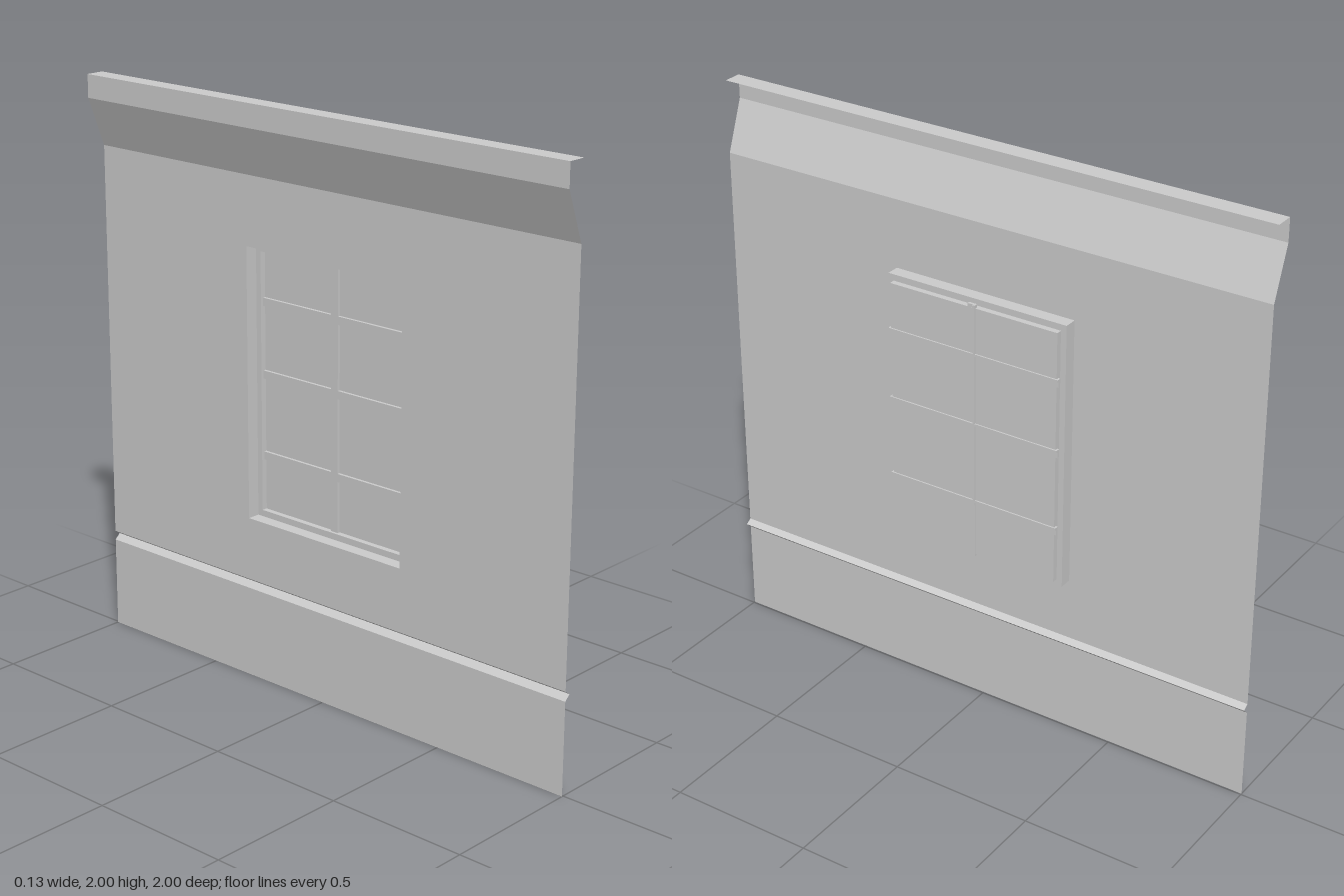
import * as THREE from 'three';

const material = new THREE.MeshStandardMaterial({ color: 0xcccccc, flatShading: true, side: THREE.DoubleSide });
const WALL = -0.005;                       // x of the wall sheet

function add(group, name, geometry) {
  const mesh = new THREE.Mesh(geometry, material);
  mesh.name = name;
  group.add(mesh);
  return mesh;
}

function quads(list) {
  const pos = [];
  for (const [a, b, c, d] of list) pos.push(...a, ...b, ...c, ...a, ...c, ...d);
  const g = new THREE.BufferGeometry();
  g.setAttribute('position', new THREE.Float32BufferAttribute(pos, 3));
  g.computeVertexNormals();
  return g;
}

// Open sheet: an (x, y) profile swept along the whole wall length
function sheet(profile) {
  return quads(profile.slice(1).map(([x, y], i) => {
    const [px, py] = profile[i];
    return [[px, py, 1], [px, py, -1], [x, y, -1], [x, y, 1]];
  }));
}

// Stepped rectangular shell: rings of [x, halfWidth, bottom, top], closed by a pane
function steppedShell(rings) {
  const loops = rings.map(([x, w, b, t]) => [[x, b, w], [x, b, -w], [x, t, -w], [x, t, w]]);
  const faces = [];
  for (let i = 1; i < loops.length; i++) {
    for (let k = 0; k < 4; k++) {
      const n = (k + 1) % 4;
      faces.push([loops[i - 1][k], loops[i - 1][n], loops[i][n], loops[i][k]]);
    }
  }
  faces.push(loops[loops.length - 1]);
  return quads(faces);
}

function box(x0, x1, y0, y1, z0, z1) {
  return new THREE.BoxGeometry(x1 - x0, y1 - y0, z1 - z0)
    .translate((x0 + x1) / 2, (y0 + y1) / 2, (z0 + z1) / 2);
}

function rectangle(path, w, b, t) {
  path.moveTo(-w, b);
  path.lineTo(w, b);
  path.lineTo(w, t);
  path.lineTo(-w, t);
  path.closePath();
  return path;
}

export function createModel() {
  const model = new THREE.Group();
  model.name = 'wallPanel';
  const W = 0.333, B = 0.573, T = 1.513;   // window opening

  // Plinth, pointed ledge, and the flared cornice with its top flange
  add(model, 'plinth', sheet([[WALL, 0], [WALL, 0.32]]));
  add(model, 'ledge', sheet([[WALL, 0.32], [0.015, 0.339], [WALL, 0.353]]));
  add(model, 'cornice', sheet([[WALL, 1.75], [-0.07, 1.92], [-0.07, 2], [WALL, 2]]));

  // Main wall with the window opening
  const shape = rectangle(new THREE.Shape(), 1, 0.353, 1.75);
  shape.holes.push(rectangle(new THREE.Path(), W, B, T));
  add(model, 'wall', new THREE.ShapeGeometry(shape).rotateY(Math.PI / 2).translate(WALL, 0, 0));

  // Window: frame box, narrower sash and pane
  const win = new THREE.Group();
  win.name = 'window';
  model.add(win);
  add(win, 'frameAndSash', steppedShell([
    [WALL, W, B, T], [0.04, W, B, T], [0.04, 0.313, 0.595, 1.491], [0.06, 0.313, 0.595, 1.491],
  ]));

  // Glazing bars set in the pane, with a slim ridge showing outside
  for (const y of [1.319, 1.07, 0.787]) {
    add(win, 'crossBar', box(0.05, 0.0595, y - 0.014, y + 0.014, -0.32, 0.32));
    add(win, 'crossBarRidge', box(0.0595, 0.065, y + 0.006, y + 0.014, -0.32, 0.32));
  }
  add(win, 'uprightBar', box(0.05, 0.0595, 0.588, 1.502, -0.012, 0.017));
  add(win, 'uprightBarRidge', box(0.0595, 0.065, 0.588, 1.502, -0.012, -0.004));

  return model;
}
